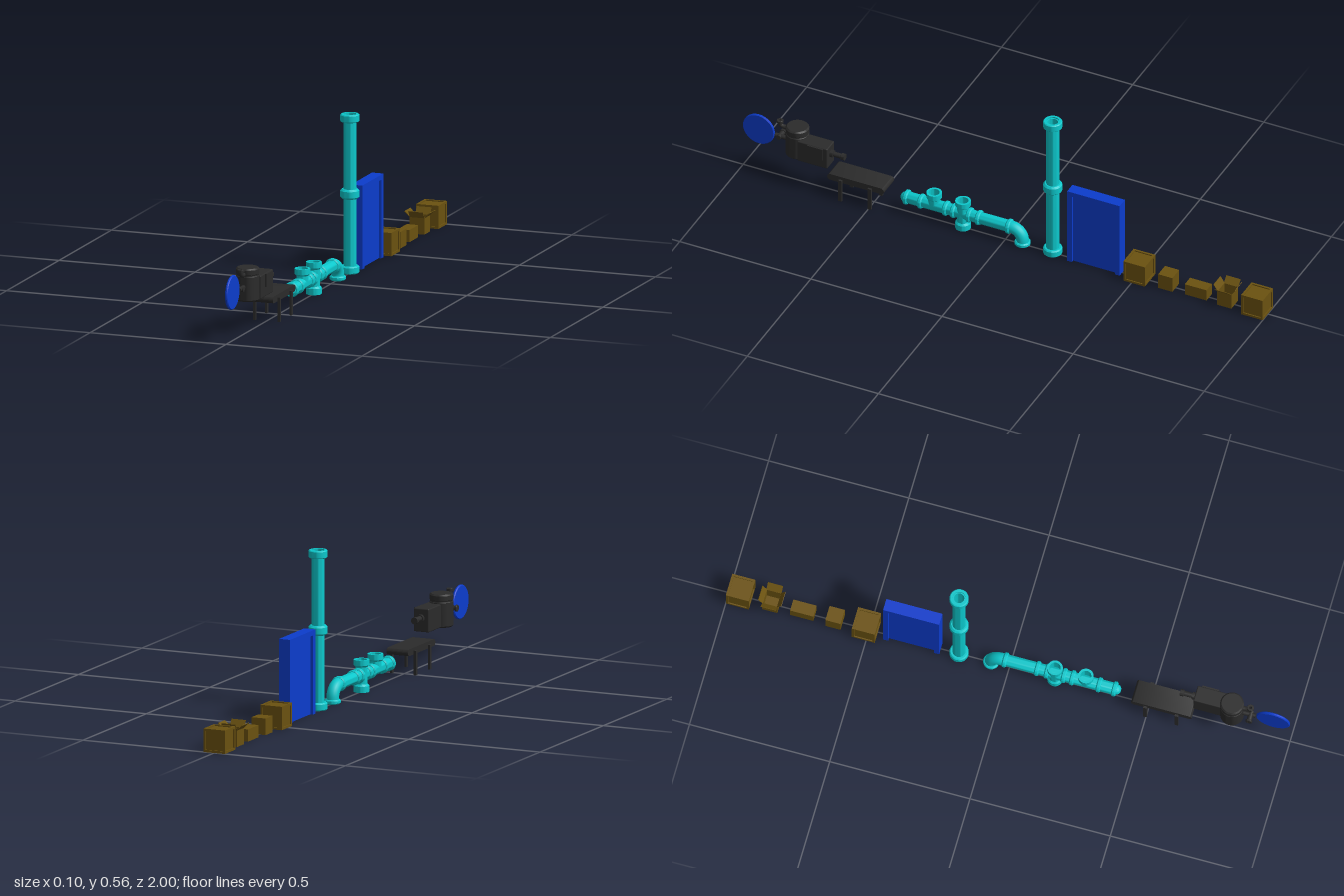
import * as THREE from 'three';
import { toCreasedNormals } from 'three/addons/utils/BufferGeometryUtils.js';
import { RoundedBoxGeometry } from 'three/addons/geometries/RoundedBoxGeometry.js';

const paint = (color) => new THREE.MeshStandardMaterial({ color, side: THREE.DoubleSide });
const CYAN = paint(0x0cc8cc), BLUE = paint(0x0c3ccc), BROWN = paint(0x6b5210), BLACK = paint(0x2b2b2b);

function add(parent, name, geometry, material, x = 0, y = 0, z = 0) {
  const mesh = new THREE.Mesh(geometry, material);
  mesh.name = name;
  mesh.position.set(x, y, z);
  parent.add(mesh);
  return mesh;
}

function section(parent, name, x = 0, y = 0, z = 0) {
  const group = new THREE.Group();
  group.name = name;
  group.position.set(x, y, z);
  parent.add(group);
  return group;
}

const box = (w, h, d) => new THREE.BoxGeometry(w, h, d);

// Turned part from [radius, height] pairs
const turned = (pairs) => toCreasedNormals(
  new THREE.LatheGeometry(pairs.map(([r, y]) => new THREE.Vector2(r, y)), 32), 0.6);

// Ring with softened edges, from y0 to y1
const collar = (inner, outer, y0, y1, b = 0.004) => turned([
  [inner, y0], [outer - b, y0], [outer, y0 + b], [outer, y1 - b], [outer - b, y1], [inner, y1], [inner, y0]]);

const tube = (points, r) => {
  const path = new THREE.CatmullRomCurve3(points.map((p) => new THREE.Vector3(...p)));
  return new THREE.TubeGeometry(path, 24, r, 20);
};

function verticalPipe(root) {
  const g = section(root, 'verticalPipe', 0, 0, -0.18);
  add(g, 'pipeBody', turned([[0.018, 0], [0.0225, 0], [0.0225, 0.555], [0.018, 0.555], [0.018, 0]]), CYAN);
  add(g, 'baseCollar', collar(0.022, 0.033, 0, 0.027), CYAN);
  add(g, 'middleCollar', collar(0.022, 0.033, 0.263, 0.297, 0.006), CYAN);
  add(g, 'topCollar', collar(0.022, 0.033, 0.533, 0.56, 0.003), CYAN);
}

function pipeRun(root) {
  const g = section(root, 'pipeRun', 0, 0.06, 0);
  const r = 0.021;
  // Straight run with a domed end
  const run = turned([[r, -0.02], [r, 0.37], [0.02, 0.38], [0.016, 0.39], [0.009, 0.396], [0, 0.398]]);
  add(g, 'straightRun', run.rotateX(Math.PI / 2), CYAN);
  for (const z of [-0.015, 0.1, 0.135, 0.195, 0.225, 0.32, 0.375]) {
    add(g, 'runCollar', collar(0.015, 0.0265, -0.008, 0.008).rotateX(Math.PI / 2), CYAN, 0, 0, z);
  }
  // Open flanged branches of the tee and the cross
  const branch = [[0, 0], [r, 0], [r, 0.028], [0.027, 0.034], [0.027, 0.053], [0.019, 0.053], [0.019, 0]];
  add(g, 'teeBranch', turned(branch), CYAN, 0, 0, 0.272);
  add(g, 'crossBranchUp', turned(branch), CYAN, 0, 0, 0.162);
  const lower = add(g, 'crossBranchDown', turned(branch.map(([a, y]) => [a, y * 1.13])), CYAN, 0, 0, 0.162);
  lower.rotation.x = Math.PI;
  // Quarter-turn elbow down to the ground
  const bend = [[0, 0, -0.015]];
  for (let i = 0; i <= 6; i++) {
    const a = i / 6 * Math.PI / 2;
    bend.push([0, -0.042 * (1 - Math.cos(a)), -0.023 - 0.042 * Math.sin(a)]);
  }
  bend.push([0, -0.059, -0.065]);
  add(g, 'elbow', tube(bend, 0.022), CYAN);
  add(g, 'elbowFlange', collar(0.019, 0.028, -0.06, -0.044), CYAN, 0, 0, -0.065);
}

function door(root) {
  const g = section(root, 'door', 0, 0, -0.345);
  for (const s of [-1, 1]) add(g, 'doorPost', box(0.042, 0.295, 0.018), BLUE, 0, 0.1475, s * 0.091);
  add(g, 'doorLintel', box(0.042, 0.018, 0.164), BLUE, 0, 0.286, 0);
  add(g, 'doorPanel', box(0.022, 0.277, 0.164), BLUE, 0, 0.1385, 0);
}

// Crate with beams on all twelve edges and recessed panels
function framedCrate(root, z) {
  const size = 0.082, t = 0.008, o = (size - t) / 2;
  const g = section(root, 'framedCrate', 0, size / 2, z);
  add(g, 'cratePanels', box(size - t, size - t, size - t), BROWN);
  for (const a of [-o, o]) {
    for (const b of [-o, o]) {
      add(g, 'beamX', box(size, t, t), BROWN, 0, a, b);
      add(g, 'beamY', box(t, size, t), BROWN, a, 0, b);
      add(g, 'beamZ', box(t, t, size), BROWN, a, b, 0);
    }
  }
}

function openCarton(root, z) {
  const w = 0.054, h = 0.058, t = 0.002;
  const g = section(root, 'openCarton', 0, 0, z);
  add(g, 'cartonFloor', box(w, t, w), BROWN, 0, t / 2, 0);
  for (let i = 0; i < 4; i++) {
    const side = section(g, 'cartonSide');
    side.rotation.y = i * Math.PI / 2;
    add(side, 'cartonWall', box(t, h, w), BROWN, w / 2 - t / 2, h / 2, 0);
    // Flaps on the x sides lean out further
    const flap = add(side, 'cartonFlap', box(0.028, t, w).translate(0.014, 0, 0), BROWN, w / 2 - t / 2, h, 0);
    flap.rotation.z = i % 2 ? 1.0 : 0.76;
  }
}

function conveyor(root) {
  const g = section(root, 'conveyorTable', 0, 0, 0.552);
  // Belt with rounded ends, extruded across the width
  const r = 0.012, half = 0.108 - r;
  const shape = new THREE.Shape();
  shape.moveTo(-half, -r).lineTo(half, -r);
  shape.absarc(half, 0, r, -Math.PI / 2, Math.PI / 2, false);
  shape.lineTo(-half, r);
  shape.absarc(-half, 0, r, Math.PI / 2, Math.PI * 1.5, false);
  const belt = new THREE.ExtrudeGeometry(shape, { depth: 0.082, bevelEnabled: false, curveSegments: 10 });
  add(g, 'belt', toCreasedNormals(belt.translate(0, 0, -0.041).rotateY(Math.PI / 2), 0.6), BLACK, 0, 0.085, 0);
  for (const x of [-0.045, 0.045]) {
    for (const z of [-0.056, 0.056]) add(g, 'tableLeg', box(0.008, 0.086, 0.013), BLACK, x, 0.043, z);
  }
}

function pump(root) {
  const g = section(root, 'pump');
  // Upright tank with a lid
  add(g, 'tank', turned([[0, 0.113], [0.036, 0.113], [0.041, 0.118], [0.041, 0.2], [0.039, 0.202],
    [0.039, 0.206], [0.041, 0.208], [0.041, 0.224], [0.036, 0.229], [0, 0.229]]), BLACK, 0, 0, 0.793);
  // Motor housing and its shaft
  add(g, 'motorHousing', new RoundedBoxGeometry(0.058, 0.082, 0.115, 2, 0.004), BLACK, 0.013, 0.156, 0.717);
  add(g, 'sidePlate', box(0.008, 0.045, 0.06), BLACK, 0.043, 0.172, 0.705);
  const shaft = turned([[0, 0], [0.013, 0], [0.013, 0.012], [0.009, 0.012], [0.009, 0.04], [0.012, 0.042],
    [0.012, 0.055], [0, 0.055]]);
  add(g, 'shaft', shaft.rotateX(-Math.PI / 2), BLACK, 0.013, 0.164, 0.66);
  // Upper outlet turns upward, lower outlet turns sideways
  add(g, 'upperOutlet', tube([[0, 0.21, 0.82], [0, 0.21, 0.845], [0, 0.214, 0.855], [0, 0.23, 0.859]], 0.008), BLACK);
  add(g, 'upperOutletFlange', collar(0.005, 0.012, 0.223, 0.233, 0.001), BLACK, 0, 0, 0.859);
  add(g, 'lowerOutletStem', new THREE.CylinderGeometry(0.008, 0.008, 0.06, 20).rotateX(Math.PI / 2),
    BLACK, 0, 0.165, 0.847);
  add(g, 'lowerOutlet', new THREE.CylinderGeometry(0.009, 0.009, 0.04, 20).rotateZ(Math.PI / 2),
    BLACK, -0.008, 0.165, 0.86);
  add(g, 'lowerOutletFlange', collar(0.005, 0.012, 0, 0.007, 0.001).rotateZ(Math.PI / 2), BLACK, -0.022, 0.165, 0.86);
}

export function createModel() {
  const root = new THREE.Group();
  root.name = 'industrialPropSet';

  // Upright round plate
  const plate = turned([[0, -0.005], [0.057, -0.005], [0.06, -0.002], [0.06, 0.002], [0.057, 0.005], [0, 0.005]]);
  add(root, 'roundPlate', plate.rotateZ(Math.PI / 2), BLUE, 0, 0.17, 0.94);

  pump(root);
  conveyor(root);
  pipeRun(root);
  verticalPipe(root);
  door(root);

  // Crates and cartons
  framedCrate(root, -0.51);
  add(root, 'smallCarton', box(0.054, 0.058, 0.054), BROWN, 0, 0.029, -0.622);
  add(root, 'longCarton', box(0.042, 0.043, 0.083), BROWN, 0, 0.0215, -0.735);
  openCarton(root, -0.847);
  framedCrate(root, -0.959);
  return root;
}
